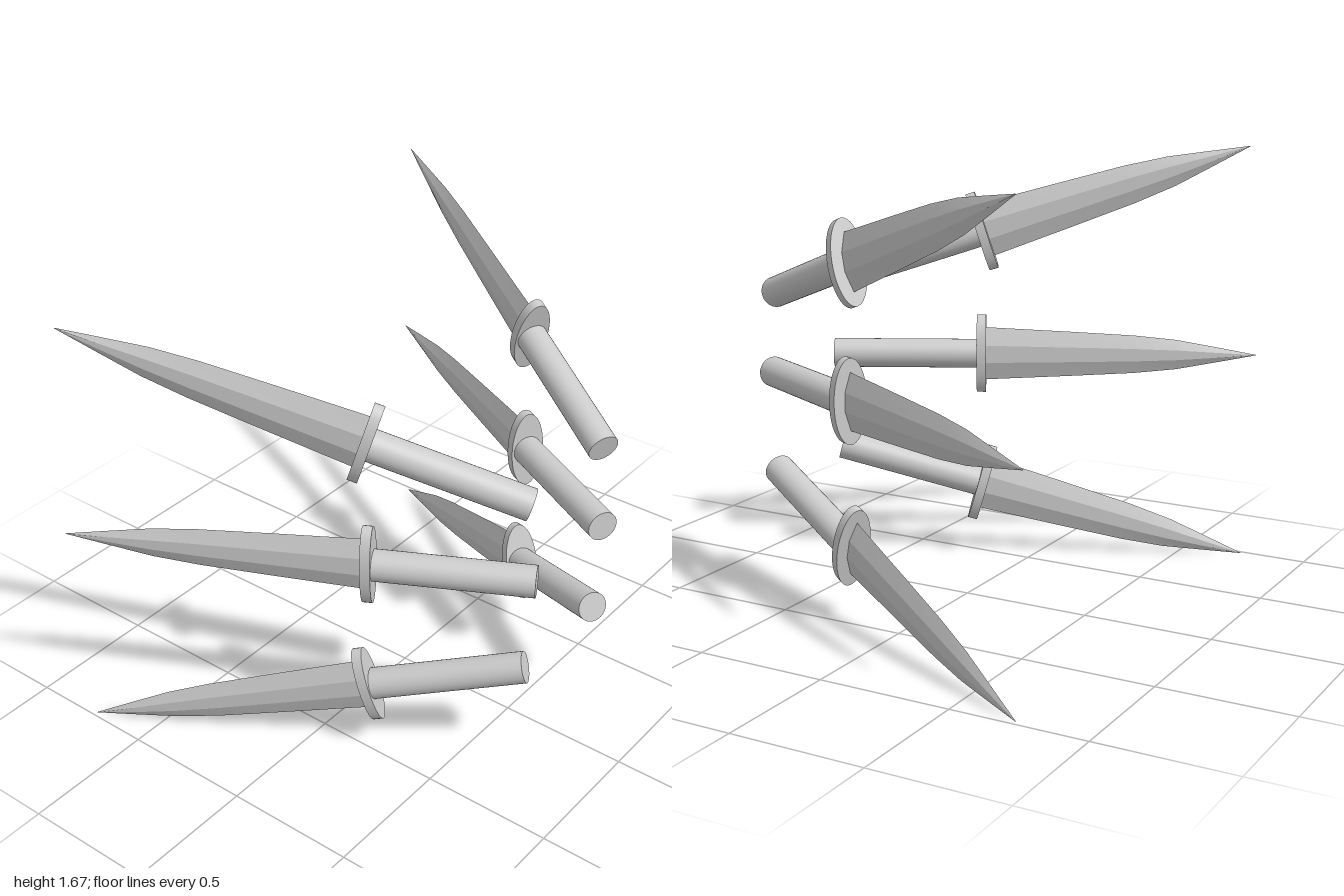
import * as THREE from 'three';
import { toCreasedNormals } from 'three/addons/utils/BufferGeometryUtils.js';

// Blade along +x from its point: [distance, half width, half thickness]
const SECTIONS = [
  [0, 0.001, 0.001], [0.16, 0.031, 0.011], [0.32, 0.06, 0.017],
  [0.49, 0.077, 0.019], [0.75, 0.091, 0.021], [1.1, 0.108, 0.023],
];

// Six-sided section: a flat on each face and two bevelled edges
function bladeGeometry() {
  const rings = SECTIONS.map(([x, w, t]) => [
    [x, w, 0], [x, w * 0.33, t], [x, -w * 0.33, t],
    [x, -w, 0], [x, -w * 0.33, -t], [x, w * 0.33, -t],
  ]);
  const pos = [];
  for (let i = 0; i < rings.length - 1; i++) {
    for (let j = 0; j < 6; j++) {
      const k = (j + 1) % 6;
      const a = rings[i][j], b = rings[i + 1][j], c = rings[i + 1][k], d = rings[i][k];
      pos.push(...a, ...d, ...c, ...a, ...c, ...b);
    }
  }
  const g = new THREE.BufferGeometry();
  g.setAttribute('position', new THREE.Float32BufferAttribute(pos, 3));
  return toCreasedNormals(g, 0.2);
}

export function createModel() {
  const model = new THREE.Group();
  const mat = new THREE.MeshStandardMaterial({ color: 0xcccccc });

  const blade = bladeGeometry();
  // Oval guard, tall across the blade's width
  const guard = new THREE.CylinderGeometry(1, 1, 0.037, 40)
    .rotateZ(-Math.PI / 2).scale(1, 0.159, 0.067).translate(1.103, 0, 0);
  const handle = new THREE.CylinderGeometry(0.058, 0.058, 0.595, 32)
    .rotateZ(-Math.PI / 2).translate(1.398, 0, 0);

  const parts = { blade, guard, handle };
  // Fan of three daggers: point position and pitch in degrees
  const fan = [
    ['upper', -0.72, 1.67, 0.975, -17.9],
    ['middle', -0.765, 0.835, 1.0, 0],
    ['lower', -0.735, 0.003, 0.983, 15.4],
  ];

  for (const [side, s] of [['front', 1], ['back', -1]]) {
    for (const [level, x, y, z, pitch] of fan) {
      const dagger = new THREE.Group();
      dagger.name = `${side} ${level} dagger`;
      for (const name in parts) {
        const mesh = new THREE.Mesh(parts[name], mat);
        mesh.name = name;
        dagger.add(mesh);
      }
      dagger.position.set(x, y, s * z);
      dagger.rotation.set(0, s * THREE.MathUtils.degToRad(27.7), THREE.MathUtils.degToRad(pitch), 'YZX');
      model.add(dagger);
    }
  }
  return model;
}
